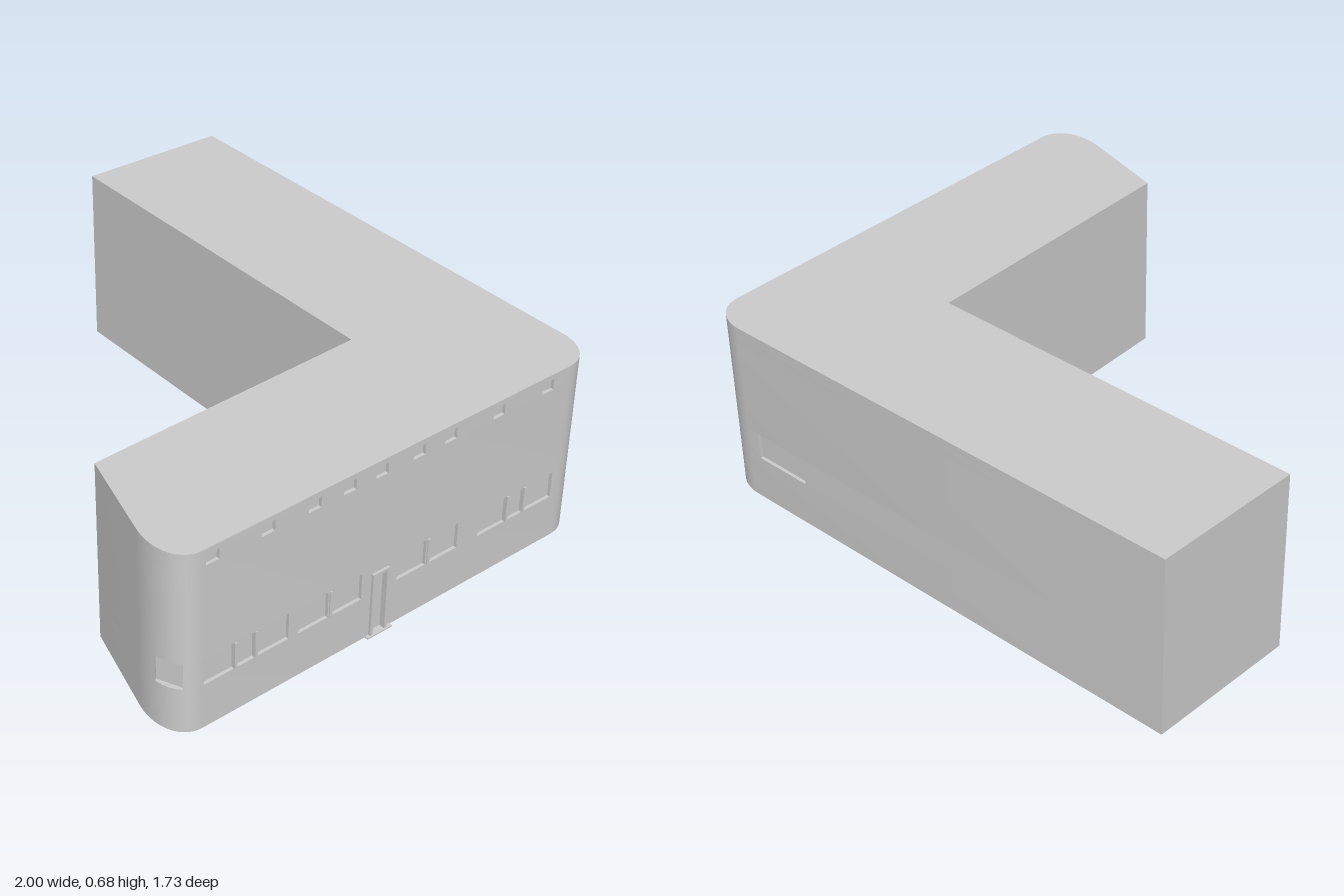
import * as THREE from 'three';
import { toCreasedNormals } from 'three/addons/utils/BufferGeometryUtils.js';

const FACE = 0.985; // x of the long window facade
const RECESS = 0.012;
const HEIGHT = 0.68;

// openings on the facade as [z start, z end], ordered from back to front
const WINDOWS = [
  [-0.72, -0.595], [-0.585, -0.515], [-0.505, -0.38], [-0.285, -0.165], [-0.145, -0.02],
  [0.13, 0.25], [0.27, 0.39], [0.43, 0.555], [0.565, 0.635], [0.645, 0.76],
];
const DOOR = [0.03, 0.08];
const VENTS = [-0.65, -0.43, -0.22, -0.085, 0.07, 0.2, 0.34, 0.52, 0.73].map((z) => [z - 0.025, z + 0.025]);
const MULLIONS = [-0.59, -0.51, -0.155, 0.26, 0.56, 0.64];

const v = (x, z) => new THREE.Vector2(x, z);
const backCorner = new THREE.CubicBezierCurve(v(0.85, -0.87), v(0.92, -0.865), v(0.985, -0.82), v(FACE, -0.745));
const frontCorner = new THREE.CubicBezierCurve(v(FACE, 0.765), v(0.985, 0.84), v(0.9, 0.885), v(0.78, 0.85));

// L-shaped plan, with notches where this storey band has openings
function plan(openings, hasEndWindows) {
  const pts = [v(-1, -0.31), v(-0.975, -0.86)];
  if (hasEndWindows) {
    pts.push(v(0.575, -0.8685), v(0.575, -0.8685 + RECESS), v(0.8, -0.8695 + RECESS), v(0.8, -0.8695));
  }
  pts.push(...backCorner.getPoints(16));
  for (const [a, b] of openings) {
    pts.push(v(FACE, a), v(FACE - RECESS, a), v(FACE - RECESS, b), v(FACE, b));
  }
  const curve = frontCorner.getPoints(20);
  if (hasEndWindows) {
    // flat pane cut across the rounded corner
    const inset = v(-0.004, -0.007);
    pts.push(...curve.slice(0, 7), curve[6].clone().add(inset), curve[14].clone().add(inset), ...curve.slice(14));
  } else {
    pts.push(...curve);
  }
  pts.push(v(0.455, 0.755), v(0.43, -0.305));
  return new THREE.Shape(pts.map((p) => v(p.x, -p.y)));
}

export function createModel() {
  const model = new THREE.Group();
  const material = new THREE.MeshStandardMaterial({ color: 0xcccccc });

  const add = (name, geometry, x = 0, y = 0, z = 0) => {
    const mesh = new THREE.Mesh(geometry, material);
    mesh.name = name;
    mesh.position.set(x, y, z);
    model.add(mesh);
  };

  // building body stacked from horizontal bands
  const withDoor = [...WINDOWS, DOOR].sort((a, b) => a[0] - b[0]);
  const bands = [
    ['baseWall', 0, 0.17, [DOOR], false],
    ['windowBand', 0.17, 0.24, withDoor, true],
    ['windowHeadBand', 0.24, 0.27, WINDOWS, true],
    ['upperWall', 0.27, 0.62, [], false],
    ['ventBand', 0.62, 0.66, VENTS, false],
    ['roofBand', 0.66, HEIGHT, [], false],
  ];
  for (const [name, y0, y1, openings, ends] of bands) {
    const band = new THREE.ExtrudeGeometry(plan(openings, ends), { depth: y1 - y0, bevelEnabled: false });
    band.rotateX(-Math.PI / 2);
    add(name, toCreasedNormals(band, 0.4), 0, y0, 0);
  }

  // slim mullions between paired windows
  for (const z of MULLIONS) {
    add('mullion', new THREE.BoxGeometry(0.012, 0.1, 0.01), FACE - 0.002, 0.22, z);
  }

  // door frame and threshold
  for (const z of [0.025, 0.085]) {
    add('doorJamb', new THREE.BoxGeometry(0.02, 0.25, 0.01), FACE, 0.125, z);
  }
  add('doorLintel', new THREE.BoxGeometry(0.02, 0.01, 0.05), FACE, 0.245, 0.055);
  add('doorStep', new THREE.BoxGeometry(0.03, 0.005, 0.105), FACE, 0.0025, 0.0525);

  return model;
}
